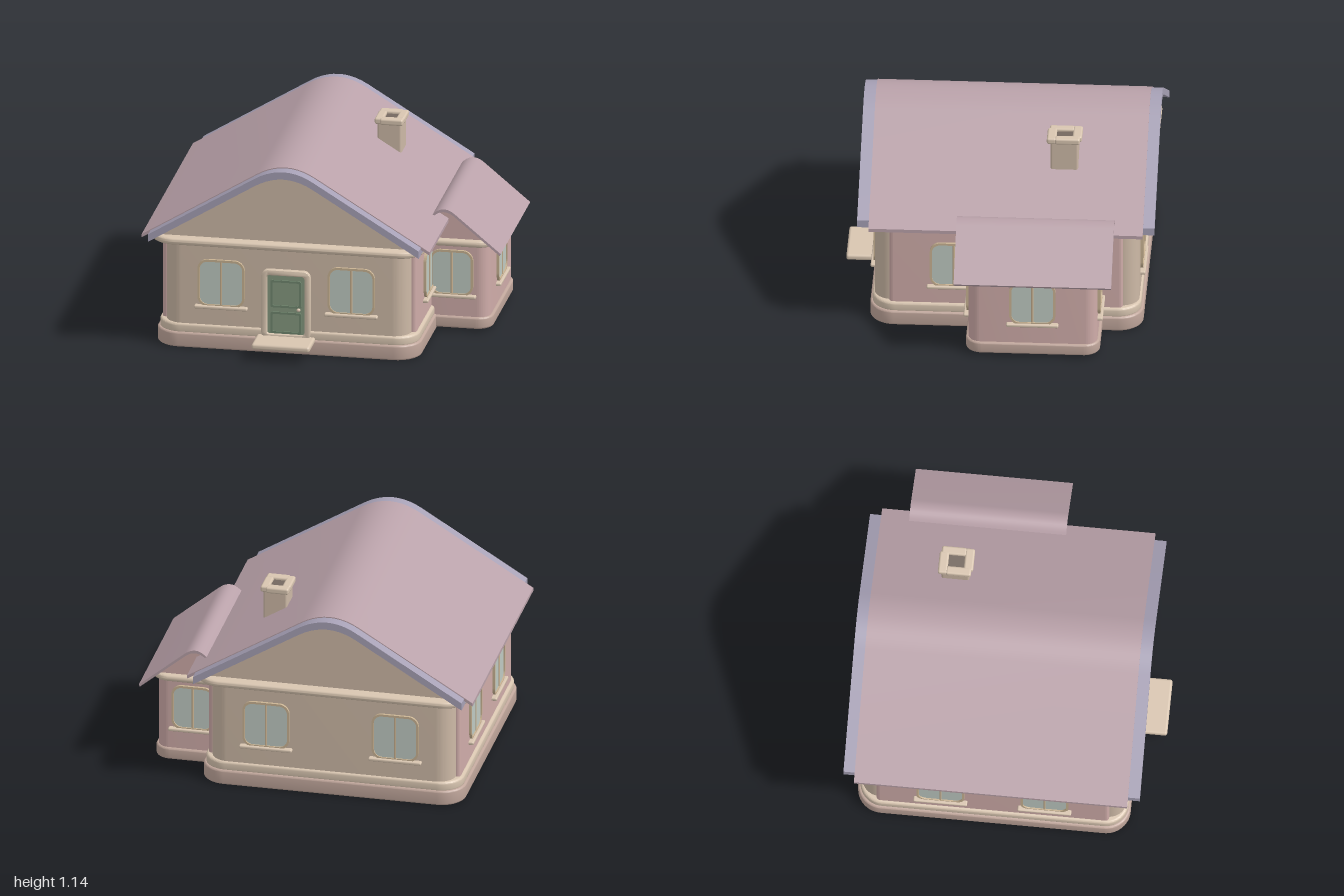
import * as THREE from 'three';
import { toCreasedNormals } from 'three/addons/utils/BufferGeometryUtils.js';
import { RoundedBoxGeometry } from 'three/addons/geometries/RoundedBoxGeometry.js';

const paint = (color) => new THREE.MeshStandardMaterial({ color });
const MAT = {
  beige: paint(0xcdb9a6), trim: paint(0xd8c5b0), pink: paint(0xcfaca9), base: paint(0xc0a69b),
  roof: paint(0xb9a1a9), verge: paint(0xa7a1b6), glass: paint(0xbfcac2), frame: paint(0xc9b393),
  door: paint(0x84987f), doorDark: paint(0x70866e), dark: paint(0x75685f),
};
const CX = -0.16; // ridge line of the main house
const CZ = -0.05; // middle of the main house, front to back

function mesh(name, geometry, material) {
  const m = new THREE.Mesh(geometry, material);
  m.name = name;
  return m;
}

function roundedRect(w, h, r, Kind = THREE.Shape) {
  const s = new Kind(), x = w / 2, y = h / 2;
  s.moveTo(-x + r, -y);
  s.lineTo(x - r, -y);
  s.absarc(x - r, -y + r, r, -Math.PI / 2, 0);
  s.lineTo(x, y - r);
  s.absarc(x - r, y - r, r, 0, Math.PI / 2);
  s.lineTo(-x + r, y);
  s.absarc(-x + r, y - r, r, Math.PI / 2, Math.PI);
  s.lineTo(-x, -y + r);
  s.absarc(-x + r, -y + r, r, Math.PI, Math.PI * 1.5);
  return s;
}

function extrude(shape, depth, bevel = 0) {
  const g = new THREE.ExtrudeGeometry(shape, {
    depth: depth - 2 * bevel, curveSegments: 10, bevelEnabled: bevel > 0,
    bevelSize: bevel, bevelThickness: bevel, bevelSegments: 4,
  });
  g.translate(0, 0, bevel);
  return toCreasedNormals(g, 0.6);
}

// Horizontal block with rounded plan corners and softened edges
function slab(name, [x0, x1], [y0, y1], [z0, z1], r, bevel, material) {
  const shape = roundedRect(x1 - x0 - 2 * bevel, z1 - z0 - 2 * bevel, r);
  const g = extrude(shape, y1 - y0, bevel);
  g.rotateX(-Math.PI / 2);
  g.translate((x0 + x1) / 2, y0, (z0 + z1) / 2);
  return mesh(name, g, material);
}

function box(name, w, h, d, x, y, z, material, r = 0.004) {
  const m = mesh(name, new RoundedBoxGeometry(w, h, d, 2, r), material);
  m.position.set(x, y, z);
  return m;
}

// Rounded gable curve: half width w, shifted vertically by dy
const slopeY = (d) => 0.674 + (0.84 - d) * 0.611;
function gableCurve(shape, w, dy, dir) {
  shape.lineTo(CX - dir * w, slopeY(w) + dy);
  shape.lineTo(CX - dir * 0.17, slopeY(0.17) + dy);
  shape.quadraticCurveTo(CX, slopeY(0) + dy, CX + dir * 0.17, slopeY(0.17) + dy);
  shape.lineTo(CX + dir * w, slopeY(w) + dy);
}

function roofBand(name, w, dy, t, z0, z1, material) {
  const s = new THREE.Shape();
  s.moveTo(CX - w, slopeY(w) + dy - t);
  gableCurve(s, w, dy, 1);
  gableCurve(s, w, dy - t, -1);
  const g = extrude(s, z1 - z0);
  g.translate(0, 0, z0);
  return mesh(name, g, material);
}

// Window with frame, mullion and sill, facing +z before turning
function makeWindow(x, y, z, turn, w = 0.275, h = 0.285) {
  const g = new THREE.Group();
  g.name = 'window';
  const glass = mesh('windowPane', extrude(roundedRect(w - 0.01, h - 0.01, 0.055), 0.02), MAT.glass);
  glass.position.z = -0.013;
  const ring = roundedRect(w, h, 0.06);
  ring.holes.push(roundedRect(w - 0.026, h - 0.026, 0.047, THREE.Path));
  const frame = mesh('windowFrame', extrude(ring, 0.028), MAT.frame);
  frame.position.z = -0.013;
  g.add(glass, frame,
    box('windowMullion', 0.012, h - 0.01, 0.014, 0, 0, 0.006, MAT.frame),
    box('windowSill', w + 0.035, 0.02, 0.05, 0, -h / 2 - 0.003, 0.005, MAT.trim, 0.008));
  g.position.set(x, y, z);
  g.rotation.y = turn;
  return g;
}

function makeDoor() {
  const g = new THREE.Group();
  g.name = 'door';
  const ring = roundedRect(0.275, 0.41, 0.035);
  ring.holes.push(roundedRect(0.228, 0.366, 0.02, THREE.Path));
  const frame = mesh('doorFrame', extrude(ring, 0.04, 0.005), MAT.trim);
  frame.position.set(0, 0.295, -0.01);
  g.add(frame, box('doorLeaf', 0.235, 0.37, 0.03, 0, 0.295, 0, MAT.door));
  for (const [y, h] of [[0.36, 0.165], [0.185, 0.13]]) {
    const rim = roundedRect(0.18, h, 0.012);
    rim.holes.push(roundedRect(0.155, h - 0.025, 0.008, THREE.Path));
    const panel = mesh('doorPanelRim', extrude(rim, 0.01), MAT.doorDark);
    panel.position.set(0, y, 0.012);
    g.add(panel);
  }
  const knob = mesh('doorKnob', new THREE.SphereGeometry(0.011, 16, 12), MAT.trim);
  knob.position.set(0.075, 0.27, 0.024);
  g.add(knob);
  g.position.set(CX, 0, 0.71);
  return g;
}

function makeChimney() {
  const g = new THREE.Group();
  g.name = 'chimney';
  g.add(box('chimneyStack', 0.14, 0.25, 0.16, 0, 0.955, 0, MAT.beige, 0.012));
  g.add(box('chimneyFlue', 0.09, 0.01, 0.1, 0, 1.08, 0, MAT.dark));
  // Cap stones laid in a pinwheel around the flue
  for (const s of [-1, 1]) {
    g.add(box('chimneyCap', 0.135, 0.038, 0.055, s * 0.015, 1.082, s * 0.073, MAT.trim, 0.012));
    g.add(box('chimneyCap', 0.05, 0.038, 0.145, s * 0.06, 1.082, -s * 0.018, MAT.trim, 0.012));
  }
  g.position.set(0.25, 0, -0.37);
  return g;
}

function makeWing() {
  const g = new THREE.Group();
  g.name = 'sideWing';
  g.add(
    slab('wingBase', [0.4, 0.93], [0.015, 0.085], [-0.605, 0.165], 0.08, 0.012, MAT.base),
    slab('wingWalls', [0.4, 0.915], [0.07, 0.53], [-0.59, 0.15], 0.07, 0, MAT.pink),
    slab('wingCornice', [0.4, 0.945], [0.513, 0.553], [-0.62, 0.18], 0.08, 0.018, MAT.trim));

  // Gable fill under the wing roof
  const fill = new THREE.Shape();
  fill.moveTo(0.45, 0.54);
  fill.lineTo(0.915, 0.54);
  fill.lineTo(0.915, 0.565);
  fill.lineTo(0.735, 0.715);
  fill.quadraticCurveTo(0.66, 0.77, 0.6, 0.705);
  fill.lineTo(0.45, 0.66);
  const fillGeo = extrude(fill, 0.73);
  fillGeo.translate(0, 0, -0.585);
  g.add(mesh('wingGable', fillGeo, MAT.pink));

  // Thin lean-to roof with a rolled crest
  const s = new THREE.Shape();
  s.moveTo(0.6, 0.705);
  s.lineTo(0.6, 0.72);
  s.quadraticCurveTo(0.663, 0.79, 0.735, 0.727);
  s.lineTo(1.0, 0.506);
  s.lineTo(0.993, 0.494);
  s.lineTo(0.73, 0.713);
  s.quadraticCurveTo(0.663, 0.77, 0.6, 0.705);
  const roofGeo = extrude(s, 0.905);
  roofGeo.translate(0, 0, -0.677);
  g.add(mesh('wingRoof', roofGeo, MAT.roof));

  g.add(makeWindow(0.7, 0.35, 0.15, 0, 0.25, 0.275),
    makeWindow(0.7, 0.35, -0.59, Math.PI, 0.25, 0.275),
    makeWindow(0.915, 0.35, -0.22, Math.PI / 2, 0.265, 0.275));
  return g;
}

export function createModel() {
  const house = new THREE.Group();
  house.name = 'house';
  const around = (c, half) => [c - half, c + half];

  // Plinth, walls and cornice
  house.add(
    slab('plinth', around(CX, 0.77), [0, 0.09], around(CZ, 0.785), 0.13, 0.012, MAT.base),
    slab('plinthMoulding', around(CX, 0.757), [0.08, 0.14], around(CZ, 0.772), 0.12, 0.015, MAT.trim),
    slab('gableWalls', around(CX, 0.715), [0.1, 0.65], around(CZ, 0.76), 0.1, 0, MAT.beige),
    slab('sideWalls', around(CX, 0.74), [0.1, 0.65], around(CZ, 0.67), 0.02, 0, MAT.pink),
    slab('cornice', around(CX, 0.80), [0.63, 0.67], around(CZ, 0.82), 0.13, 0.018, MAT.trim));

  // Gable fill
  const gable = new THREE.Shape();
  gable.moveTo(CX - 0.76, 0.65);
  gableCurve(gable, 0.76, -0.03, 1);
  gable.lineTo(CX + 0.76, 0.65);
  const gableGeo = extrude(gable, 1.51);
  gableGeo.translate(0, 0, CZ - 0.755);
  house.add(mesh('gable', gableGeo, MAT.beige));

  // Roof covering and the longer verge layer below it
  house.add(
    roofBand('roof', 0.84, 0, 0.02, -0.84, 0.735, MAT.roof),
    roofBand('roofVerge', 0.79, -0.006, 0.045, -0.905, 0.803, MAT.verge));

  // Windows of the main house
  for (const side of [-1, 1]) {
    house.add(makeWindow(CX + side * 0.38, 0.397, 0.71, 0));
    house.add(makeWindow(CX + side * 0.38, 0.397, -0.81, Math.PI));
    house.add(makeWindow(-0.9, 0.397, CZ + side * 0.3, -Math.PI / 2));
  }
  house.add(makeWindow(0.58, 0.397, 0.25, Math.PI / 2));

  house.add(makeDoor(), makeChimney(), makeWing());
  house.add(box('doorStep', 0.34, 0.036, 0.2, CX, 0.088, 0.8, MAT.trim, 0.015));
  return house;
}
